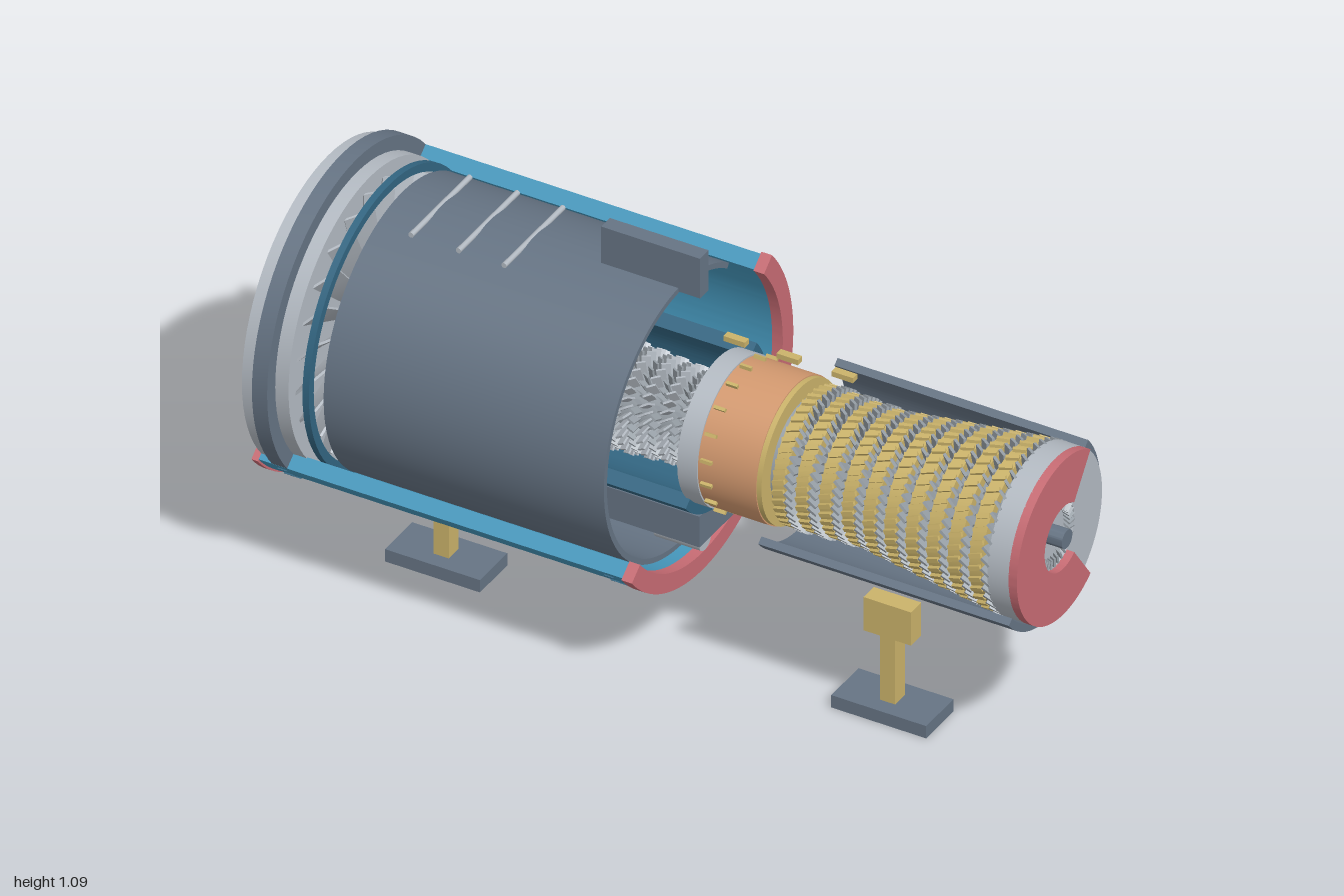
import * as THREE from 'three';
import { mergeGeometries, toCreasedNormals } from 'three/addons/utils/BufferGeometryUtils.js';

const AXIS_Y = 0.63;
const rad = THREE.MathUtils.degToRad;

export function createModel() {
  const root = new THREE.Group();
  root.name = 'cutawayTurbine';
  const engine = new THREE.Group();
  engine.name = 'engine';
  engine.position.y = AXIS_Y;
  root.add(engine);

  const mat = (name, color) => {
    const m = new THREE.MeshStandardMaterial({ color });
    m.name = name;
    return m;
  };
  const lightGrey = mat('lightGrey', 0xb4bbc3);
  const steel = mat('steel', 0x979fa6);
  const slate = mat('slate', 0x667484);
  const blue = mat('blue', 0x4698bd);
  const darkBlue = mat('darkBlue', 0x336682);
  const red = mat('red', 0xc86c74);
  const gold = mat('gold', 0xcbb36a);
  const copper = mat('copper', 0xd49a70);

  const add = (name, geo, material, parent = engine) => {
    const m = new THREE.Mesh(geo, material);
    m.name = name;
    parent.add(m);
    return m;
  };
  const box = (name, material, w, h, d, x, y, z, parent = root) => {
    const m = add(name, new THREE.BoxGeometry(w, h, d), material, parent);
    m.position.set(x, y, z);
    return m;
  };

  // Part of a tube along x; angles in degrees from straight up towards +z
  const arcShell = (name, material, x0, x1, rIn, rOut, from, to) => {
    const a = rad(from + 90), b = rad(to + 90);
    const s = new THREE.Shape();
    s.absarc(0, 0, rOut, a, b, false);
    s.absarc(0, 0, rIn, b, a, true);
    const g = new THREE.ExtrudeGeometry(s, { depth: x1 - x0, bevelEnabled: false, curveSegments: 64 });
    g.rotateY(Math.PI / 2).translate(x0, 0, 0);
    return add(name, toCreasedNormals(g, 0.5), material);
  };
  // Turned part along x from [radius, x] points
  const turned = (name, material, pts, seg = 72) => {
    const g = new THREE.LatheGeometry(pts.map(p => new THREE.Vector2(p[0], p[1])), seg);
    g.rotateZ(-Math.PI / 2);
    return add(name, toCreasedNormals(g, 0.5), material);
  };
  const ring = (name, material, x0, x1, rIn, rOut) =>
    turned(name, material, [[rIn, x0], [rOut, x0], [rOut, x1], [rIn, x1], [rIn, x0]]);
  const disc = (name, material, x0, x1, r) =>
    turned(name, material, [[0, x0], [r, x0], [r, x1], [0, x1]]);

  // Ring of pitched blades as one geometry
  const bladeRow = (x, rIn, rOut, chord, thick, count, pitch) => {
    const list = [];
    for (let i = 0; i < count; i++) {
      const g = new THREE.BoxGeometry(chord, rOut - rIn, thick);
      g.rotateY(pitch).translate(x, (rIn + rOut) / 2, 0).rotateX((i / count) * Math.PI * 2);
      list.push(g);
    }
    return mergeGeometries(list);
  };

  // Central shaft
  disc('shaft', slate, -1, 1, 0.024);

  // Intake: lip rings and fan
  ring('intakeLip', lightGrey, -0.945, -0.91, 0.345, 0.395);
  ring('intakeFlange', slate, -0.91, -0.87, 0.345, 0.41);
  ring('fanCaseRing', lightGrey, -0.87, -0.835, 0.34, 0.373);
  ring('fanCaseBand', darkBlue, -0.80, -0.783, 0.348, 0.37);
  disc('fanDisc', lightGrey, -0.865, -0.845, 0.342);
  disc('fanHub', steel, -0.9, -0.76, 0.05);
  add('fanBlades', bladeRow(-0.88, 0.04, 0.2, 0.045, 0.005, 20, 0.5), steel);

  // Guide vanes: widening, twisted blades behind the fan disc
  const vanes = [];
  for (let i = 0; i < 24; i++) {
    const g = new THREE.BoxGeometry(1, 1, 0.006, 1, 6, 1);
    const p = g.attributes.position;
    for (let k = 0; k < p.count; k++) {
      const t = p.getY(k) + 0.5;
      const twist = 0.35 + 0.5 * t, c = p.getX(k) * (0.055 + 0.02 * t), h = p.getZ(k);
      p.setXYZ(k, c * Math.cos(twist) + h * Math.sin(twist) - 0.812, 0.05 + 0.29 * t,
        -c * Math.sin(twist) + h * Math.cos(twist));
    }
    g.computeVertexNormals();
    vanes.push(g.rotateX((i / 24) * Math.PI * 2));
  }
  add('guideVanes', mergeGeometries(vanes), lightGrey);

  // Outer nacelle half with cut-face end flanges
  arcShell('nacelleHalf', blue, -0.945, 0.012, 0.37, 0.41, 129, 310);
  arcShell('nacelleFrontFlange', red, -0.962, -0.945, 0.367, 0.415, 129, 310);
  arcShell('nacelleRearFlange', red, 0.012, 0.04, 0.367, 0.415, 129, 310);
  const rivets = [];
  for (const x of [-0.89, -0.03]) for (let i = 0; i < 30; i++) {
    const g = new THREE.BoxGeometry(0.025, 0.004, 0.004);
    rivets.push(g.translate(x, 0.411, 0).rotateX(rad(132 + i * 6)));
  }
  add('nacelleRivets', mergeGeometries(rivets), darkBlue);

  // Inner cowl with rods and pylon
  arcShell('fanCowl', slate, -0.75, -0.012, 0.346, 0.36, -36, 216);
  for (const x of [-0.65, -0.525, -0.405]) {
    const rod = add('cowlRod', new THREE.CylinderGeometry(0.007, 0.007, 0.27, 10), lightGrey, root);
    rod.rotation.x = Math.PI / 2;
    rod.position.set(x, 0.985, 0);
  }
  box('pylon', slate, 0.26, 0.11, 0.04, -0.085, 1.035, 0);

  // Compressor: tapering drum, blade rows and core casing half
  turned('compressorDrum', steel, [[0, -0.76], [0.1, -0.72], [0.08, 0.08], [0, 0.08]], 48);
  disc('frontBearing', copper, -0.785, -0.755, 0.06);
  const rotors = [], stators = [];
  for (let i = 0; i < 15; i++) {
    const x = -0.68 + i * 0.052, tip = 0.165 - i * 0.0035;
    rotors.push(bladeRow(x, 0.07, tip, 0.022, 0.005, 32, 0.6));
    stators.push(bladeRow(x + 0.026, 0.07, tip - 0.008, 0.018, 0.005, 32, -0.5));
  }
  add('compressorRotors', mergeGeometries(rotors), lightGrey);
  add('compressorStators', mergeGeometries(stators), steel);
  arcShell('coreCasingHalf', darkBlue, -0.7, 0.09, 0.175, 0.21, 129, 310);

  // Gearbox under the core
  box('gearbox', slate, 0.26, 0.085, 0.165, -0.05, 0.382, 0);
  const pump = add('gearboxPump', new THREE.CylinderGeometry(0.028, 0.028, 0.12, 24), lightGrey, root);
  pump.rotation.z = Math.PI / 2;
  pump.position.set(0.01, 0.333, 0.04);

  // Combustor with fuel nozzles
  disc('combustorFlange', lightGrey, 0.08, 0.132, 0.185);
  disc('combustor', copper, 0.132, 0.285, 0.181);
  disc('combustorRearRing', gold, 0.285, 0.298, 0.178);
  add('fuelNozzles', bladeRow(0.155, 0.175, 0.19, 0.03, 0.008, 18, 0), gold);
  for (const x of [0.1, 0.24, 0.385]) box('sensorBlock', gold, 0.056, 0.014, 0.02, x, 0.843, -0.05);

  // Turbine: waisted drum with alternating gold vanes and steel blades
  const tipAt = x => x < 0.5 ? 0.172 - (x - 0.3) * 0.05 : 0.162 + (x - 0.5) * 0.125;
  const drum = [[0, 0.29]];
  for (let x = 0.29; x < 0.92; x += 0.052) drum.push([tipAt(x) - 0.035, x]);
  drum.push([0, 0.914]);
  turned('turbineDrum', steel, drum);
  const goldVanes = [], turbineBlades = [];
  for (let i = 0; i < 10; i++) {
    const x = 0.335 + i * 0.06, tip = tipAt(x);
    ring('vaneBand', gold, x - 0.017, x + 0.017, tip - 0.05, tip - 0.008);
    goldVanes.push(bladeRow(x, tip - 0.03, tip, 0.032, 0.011, 40, 0.35));
    turbineBlades.push(bladeRow(x + 0.03, tip - 0.05, tip + 0.004, 0.026, 0.007, 48, -0.6));
  }
  add('turbineVanes', mergeGeometries(goldVanes), gold);
  add('turbineBlades', mergeGeometries(turbineBlades), steel);
  arcShell('turbineCowlHalf', slate, 0.292, 0.952, 0.216, 0.235, 129, 310);

  // Exhaust end
  ring('exhaustRing', lightGrey, 0.912, 0.97, 0.085, 0.212);
  disc('exhaustBackplate', lightGrey, 0.912, 0.955, 0.087);
  arcShell('exhaustCutFace', red, 0.968, 0.99, 0.085, 0.212, -36, 216);
  add('exhaustBlades', bladeRow(0.962, 0.062, 0.086, 0.02, 0.005, 32, 0.5), steel);

  // Two support stands
  for (const x of [-0.635, 0.54]) {
    const stand = new THREE.Group();
    stand.name = 'stand';
    stand.position.x = x;
    root.add(stand);
    box('standBase', slate, 0.25, 0.034, 0.125, 0, 0.017, 0, stand);
    box('standPost', gold, 0.04, 0.18, 0.045, 0, 0.124, 0, stand);
    box('standHead', gold, 0.125, 0.092, 0.047, 0, 0.258, 0, stand);
  }
  return root;
}
